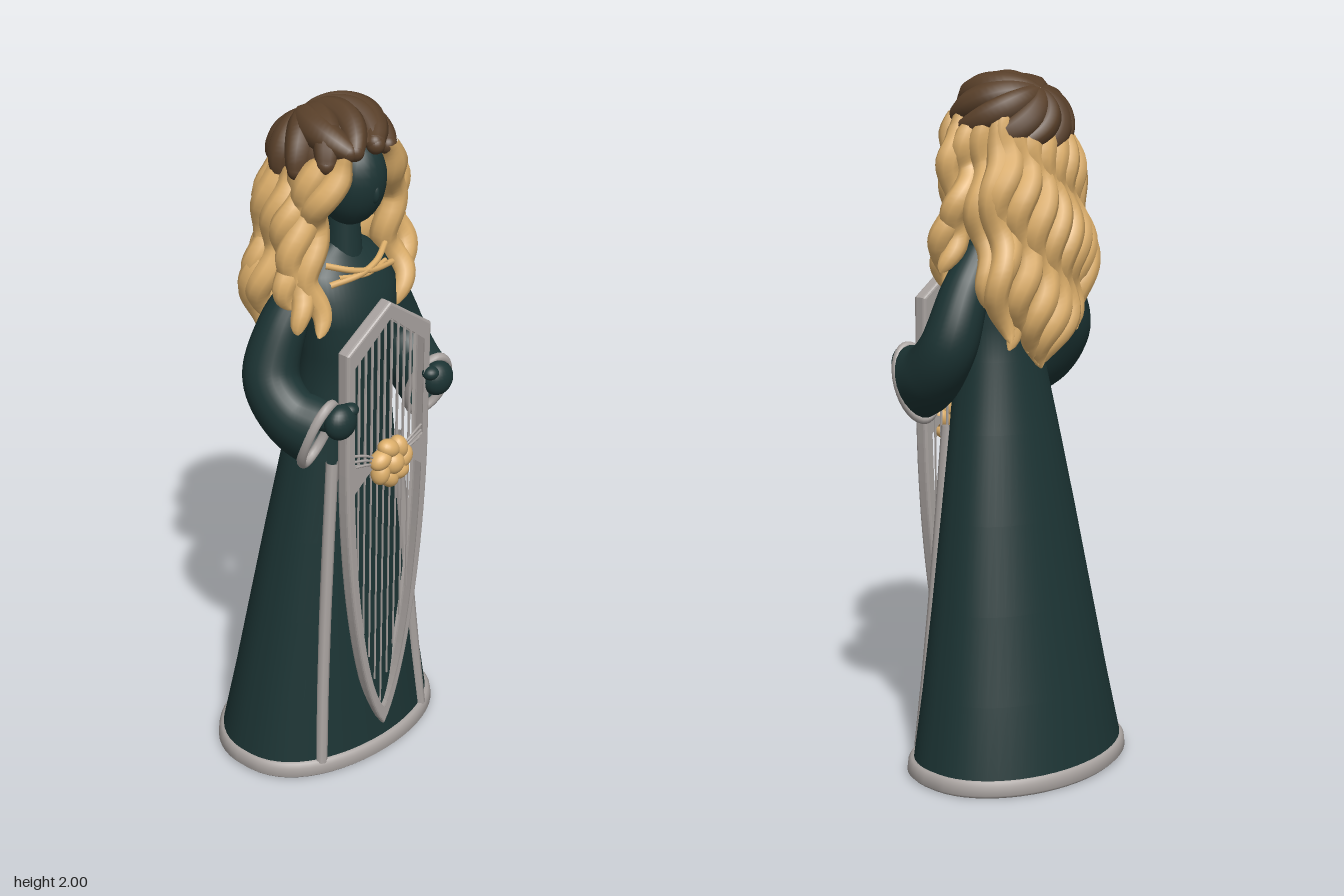
import * as THREE from 'three';

const mat = (name, color, side = THREE.FrontSide) => {
  const m = new THREE.MeshStandardMaterial({ color, side });
  m.name = name;
  return m;
};
const V = (x, y, z) => new THREE.Vector3(x, y, z);

// Gown cross-sections: height, half width, front z, back z
const GOWN = [
  [0.005, 0.35, 0.234, -0.272], [0.05, 0.347, 0.23, -0.27], [0.25, 0.309, 0.212, -0.23],
  [0.5, 0.265, 0.194, -0.184], [0.75, 0.222, 0.18, -0.138], [1.0, 0.176, 0.17, -0.092],
  [1.2, 0.138, 0.168, -0.055], [1.3, 0.136, 0.178, -0.045], [1.4, 0.15, 0.188, -0.05],
  [1.48, 0.162, 0.17, -0.055], [1.54, 0.145, 0.135, -0.055], [1.58, 0.105, 0.105, -0.045],
  [1.61, 0.05, 0.085, -0.01],
];
// Sections are elliptical behind and blunter in front
const blunt = c => (c > 0 ? c ** 0.78 : c);

// Smooth skin over the sections
function loft(rows, sides = 56, cap = false) {
  const pos = [], idx = [];
  for (const [y, rx, zf, zb] of rows)
    for (let j = 0; j < sides; j++) {
      const a = (j / sides) * Math.PI * 2;
      pos.push(rx * Math.sin(a), y, (zf + zb) / 2 + ((zf - zb) / 2) * blunt(Math.cos(a)));
    }
  for (let i = 0; i < rows.length - 1; i++)
    for (let j = 0; j < sides; j++) {
      const a = i * sides + j, b = i * sides + ((j + 1) % sides);
      idx.push(a, b, b + sides, a, b + sides, a + sides);
    }
  if (cap) for (let j = 1; j < sides - 1; j++) idx.push(0, j + 1, j);
  const g = new THREE.BufferGeometry();
  g.setAttribute('position', new THREE.Float32BufferAttribute(pos, 3));
  g.setIndex(idx);
  g.computeVertexNormals();
  return g;
}

// Tube whose radius follows a rule along its length; squeeze narrows it in x
function taperTube(points, radius, segs = 28, sides = 10, squeeze = () => 1) {
  const curve = new THREE.CatmullRomCurve3(points);
  const g = new THREE.TubeGeometry(curve, segs, 1, sides);
  const p = g.attributes.position, v = V(0, 0, 0);
  for (let i = 0; i <= segs; i++) {
    const t = i / segs, c = curve.getPointAt(t), r = radius(t);
    for (let j = 0; j <= sides; j++) {
      const k = i * (sides + 1) + j;
      v.fromBufferAttribute(p, k).sub(c).multiplyScalar(r);
      v.x *= squeeze(t);
      v.add(c);
      p.setXYZ(k, v.x, v.y, v.z);
    }
  }
  return g;
}

// Wavy strand through guide points, thin at the tip
function wavyLock(guides, r, amp, phase, waves = 2.4) {
  const base = new THREE.CatmullRomCurve3(guides), pts = [];
  for (let i = 0; i <= 22; i++) {
    const t = i / 22, p = base.getPointAt(t), a = phase + t * waves * Math.PI * 2;
    const k = amp * Math.min(1, t * 4);
    pts.push(p.add(V(k * Math.cos(a), 0, k * 0.6 * Math.sin(a))));
  }
  return taperTube(pts, t => r * (t < 0.1 ? 0.5 + t * 5 : 1) * Math.sqrt(Math.max(0.01, 1 - t ** 6)), 44, 9);
}

// Front surface of the gown at a given x and y
function gownFront(x, y) {
  let i = 0;
  while (i < GOWN.length - 2 && GOWN[i + 1][0] < y) i++;
  const A = GOWN[i], B = GOWN[i + 1], t = (y - A[0]) / (B[0] - A[0]);
  const [rx, zf, zb] = [1, 2, 3].map(k => A[k] + (B[k] - A[k]) * t);
  return (zf + zb) / 2 + ((zf - zb) / 2) * blunt(Math.sqrt(Math.max(0, 1 - (x / rx) ** 2)));
}

export function createModel() {
  const model = new THREE.Group();
  const teal = mat('dark teal', 0x1c3434, THREE.DoubleSide);
  const gold = mat('golden blonde', 0xdcae6a);
  const brown = mat('brown', 0x583f29);
  const silver = mat('silver grey', 0xa8a29f, THREE.DoubleSide);
  const add = (name, geo, m, parent = model) => {
    const mesh = new THREE.Mesh(geo, m);
    mesh.name = name;
    parent.add(mesh);
    return mesh;
  };
  const ball = (name, m, [x, y, z], [a, b, c], parent) => {
    const s = add(name, new THREE.SphereGeometry(1, 24, 16), m, parent);
    s.position.set(x, y, z);
    s.scale.set(a, b, c);
    return s;
  };

  // Gown and hem
  add('gown', loft(GOWN, 56, true), teal);
  add('hemTrim', loft([[0.005, 0.335, 0.22, -0.258], [0, 0.355, 0.24, -0.276], [0.01, 0.365, 0.25, -0.286],
    [0.035, 0.362, 0.247, -0.284], [0.047, 0.354, 0.24, -0.277], [0.05, 0.342, 0.226, -0.266]]), silver);

  // Neck and head
  const neck = add('neck', new THREE.CylinderGeometry(0.042, 0.055, 0.16, 20), teal);
  neck.position.set(0, 1.62, 0.06);
  const head = ball('head', teal, [0, 1.785, 0.09], [0.09, 0.128, 0.096]);
  head.rotation.x = 0.2;
  ball('nose', teal, [0, 1.77, 0.174], [0.012, 0.03, 0.016]);

  for (const s of [-1, 1]) {
    const side = new THREE.Group();
    side.name = s > 0 ? 'leftSide' : 'rightSide';
    model.add(side);

    // Sleeve flaring into a tall narrow cuff
    const path = [V(s * 0.115, 1.5, 0.03), V(s * 0.19, 1.4, 0.02), V(s * 0.245, 1.26, 0.03),
      V(s * 0.242, 1.17, 0.1), V(s * 0.218, 1.135, 0.182)];
    const radii = [0.055, 0.068, 0.078, 0.092, 0.108];
    add('sleeve', taperTube(path, t => {
      const f = Math.min(t * 4, 3.999), i = Math.floor(f);
      return radii[i] + (radii[i + 1] - radii[i]) * (f - i);
    }, 32, 24, t => 1 - 0.42 * Math.max(0, (t - 0.5) * 2)), teal, side);
    const cuff = add('cuffTrim', new THREE.TorusGeometry(0.107, 0.014, 10, 32), silver, side);
    cuff.position.copy(path[4]);
    cuff.quaternion.setFromUnitVectors(V(0, 0, 1), new THREE.CatmullRomCurve3(path).getTangentAt(1));
    cuff.scale.x = 0.58;

    // Forearm and hand gripping the harp
    add('forearm', taperTube([V(s * 0.235, 1.18, 0.1), V(s * 0.215, 1.185, 0.17), V(s * 0.195, 1.185, 0.23)],
      () => 0.036, 8, 14), teal, side);
    ball('hand', teal, [s * 0.192, 1.185, 0.243], [0.05, 0.05, 0.038], side);
    ball('thumb', teal, [s * 0.16, 1.212, 0.246], [0.026, 0.02, 0.024], side);

    // Trim along the open front of the overgown
    const edge = [];
    for (let i = 0; i <= 8; i++) {
      const y = 1.0 - i * 0.12, x = s * (0.128 + i * 0.0105);
      edge.push(V(x, y, gownFront(x, y) + 0.01 - i * 0.0015));
    }
    add('gownEdgeTrim', taperTube(edge, () => 0.018, 24, 8), silver, side);

    // Ribbon tails and bow strands beside the flower
    const ribbon = new THREE.Shape();
    ribbon.moveTo(s * 0.05, 1.0);
    ribbon.lineTo(s * 0.145, 1.03);
    ribbon.lineTo(s * 0.14, 0.93);
    const tail = add('ribbon', new THREE.ExtrudeGeometry(ribbon, { depth: 0.008, bevelEnabled: false }), silver, side);
    tail.position.z = 0.232;
    for (let i = 0; i < 3; i++)
      add('bowStrand', taperTube([V(s * 0.05, 1.0 + i * 0.008, 0.24), V(s * 0.09, 1.015 + i * 0.014, 0.244),
        V(s * 0.135, 1.02 + i * 0.018, 0.236)], () => 0.004, 10, 6), silver, side);

    // Front and side strands of hair
    const strands = [
      [[0.085, 1.885, 0.15], [0.125, 1.79, 0.13], [0.145, 1.68, 0.085], [0.155, 1.57, 0.085], [0.16, 1.48, 0.115], [0.155, 1.385, 0.118]],
      [[0.11, 1.89, 0.1], [0.155, 1.78, 0.085], [0.18, 1.66, 0.065], [0.2, 1.54, 0.08], [0.19, 1.4, 0.1]],
      [[0.12, 1.88, 0.05], [0.155, 1.76, 0.04], [0.185, 1.65, 0.035], [0.205, 1.56, 0.05], [0.205, 1.46, 0.075]],
      [[0.12, 1.88, 0.0], [0.15, 1.75, -0.01], [0.175, 1.6, -0.035], [0.185, 1.48, -0.06], [0.17, 1.36, -0.075]],
      [[0.11, 1.88, -0.04], [0.145, 1.75, -0.06], [0.17, 1.6, -0.085], [0.175, 1.45, -0.1], [0.15, 1.27, -0.095]],
    ];
    strands.forEach((g, i) => add('sideLock', wavyLock(g.map(([x, y, z]) => V(s * x, y, z)),
      0.039, 0.019, i * 1.7 + s * 0.6), gold, side));
  }

  // Long hair down the back
  add('backHairCore', loft([[1.22, 0.02, -0.06, -0.1], [1.32, 0.1, -0.045, -0.12], [1.5, 0.15, -0.02, -0.135],
    [1.7, 0.14, 0.02, -0.12], [1.85, 0.12, 0.08, -0.1], [1.9, 0.05, 0.05, -0.05]], 28), gold);
  for (let i = 0; i < 7; i++) {
    const u = (i - 3) / 3, back = 1 - 0.35 * u * u, end = 1.165 + 0.08 * Math.abs(u) + 0.015 * (i % 2);
    const mid = (end + 1.86) / 2;
    add('backLock', wavyLock([V(u * 0.1, 1.89, -0.075 * back), V(u * 0.13, 1.76, -0.115 * back),
      V(u * 0.16, mid, -0.142 * back), V(u * 0.15, mid - 0.18, -0.138 * back), V(u * 0.1, end, -0.1 * back)],
    0.04, 0.024, i * 1.1, 2.8), gold);
  }

  // Brown crown: cap with locks swept forward and down from a point at the back
  const onSkull = d => V(-0.012 + 0.146 * d.x, 1.836 + 0.127 * d.y, 0.036 + 0.148 * d.z);
  const cap = add('crownCap', new THREE.SphereGeometry(1, 32, 12, 0, Math.PI * 2, 0, 1.5), brown);
  cap.scale.set(0.15, 0.136, 0.15);
  cap.rotation.x = -0.42;
  cap.position.set(-0.012, 1.842, 0.033);
  const whorl = V(-0.15, 0.8, -0.55).normalize(), LOCKS = 11;
  const crownLock = (a, reach, bend, r) => {
    const rim = V(Math.sin(reach) * Math.sin(a), Math.cos(reach), Math.sin(reach) * Math.cos(a));
    const sway = V(0, 0, 0).crossVectors(whorl, rim).normalize(), pts = [];
    for (let k = 0; k <= 6; k++) {
      const t = k / 6;
      pts.push(onSkull(whorl.clone().lerp(rim, t).addScaledVector(sway, bend * Math.sin(Math.PI * t)).normalize()));
    }
    add('crownLock', taperTube(pts, t => 0.012 + r * Math.sin(Math.PI * (0.12 + 0.78 * t)) + 0.006 * t, 20, 10), brown);
    ball('crownLockTip', brown, onSkull(rim).toArray(), [0.026, 0.026, 0.026]);
  };
  for (let i = 0; i < LOCKS; i++) {
    const a = ((i + 0.35) / LOCKS) * Math.PI * 2, c = Math.cos(a);
    crownLock(a, 1.58 - 0.52 * Math.max(0, c) - 0.26 * Math.min(0, c) + 0.07 * (i % 2), 0.22, 0.028);
  }
  // Forelocks rolling over the brow
  crownLock(0.2, 1.02, 0.35, 0.036);
  crownLock(-0.5, 1.1, -0.15, 0.034);

  // Crossed neckline cords
  for (const s of [-1, 1])
    add('necklineCord', taperTube([V(-s * 0.115, 1.575, 0.105), V(-s * 0.05, 1.553, 0.138), V(s * 0.02, 1.537, 0.148),
      V(s * 0.12, 1.525, 0.128)], () => 0.009, 20, 8), gold);
  add('collarCord', taperTube([V(-0.09, 1.54, 0.132), V(0, 1.53, 0.148), V(0.09, 1.54, 0.132)], () => 0.007, 16, 8), gold);

  // Harp frame: pointed arch above, long curved point below
  const outline = (C, w, top, bottom) => {
    C.moveTo(0, top);
    C.lineTo(w, top - 0.105);
    C.lineTo(w, 1.0);
    C.bezierCurveTo(w - 0.005, 0.62, w * 0.55, 0.24, 0, bottom);
    C.bezierCurveTo(-w * 0.55, 0.24, -w + 0.005, 0.62, -w, 1.0);
    C.lineTo(-w, top - 0.105);
    C.lineTo(0, top);
    return C;
  };
  const frame = outline(new THREE.Shape(), 0.155, 1.468, 0.105);
  frame.holes.push(outline(new THREE.Path(), 0.135, 1.43, 0.155));
  const harp = add('harpFrame', new THREE.ExtrudeGeometry(frame, { depth: 0.022, curveSegments: 20,
    bevelThickness: 0.01, bevelSize: 0.008, bevelSegments: 3 }), silver);
  harp.position.z = 0.21;

  // Harp strings, thicker in the upper half
  for (let i = -4; i <= 4; i++) {
    const x = i * 0.025, top = 1.43 - Math.abs(x) * 0.67, low = 0.17 + Math.abs(x) * 3.6;
    for (const [y0, y1, w] of [[0.95, top, 0.007], [low, 0.95, 0.004]]) {
      const string = add('harpString', new THREE.BoxGeometry(w, y1 - y0, 0.004), silver);
      string.position.set(x, (y0 + y1) / 2, 0.222);
    }
  }

  // Golden flower on the harp
  ball('flowerCentre', gold, [0, 0.995, 0.258], [0.034, 0.034, 0.03]);
  for (let i = 0; i < 7; i++) {
    const a = (i / 7) * Math.PI * 2;
    const petal = ball('petal', gold, [0.046 * Math.cos(a), 0.995 + 0.046 * Math.sin(a), 0.25], [0.036, 0.027, 0.028]);
    petal.rotation.z = a + 0.9;
  }
  return model;
}
